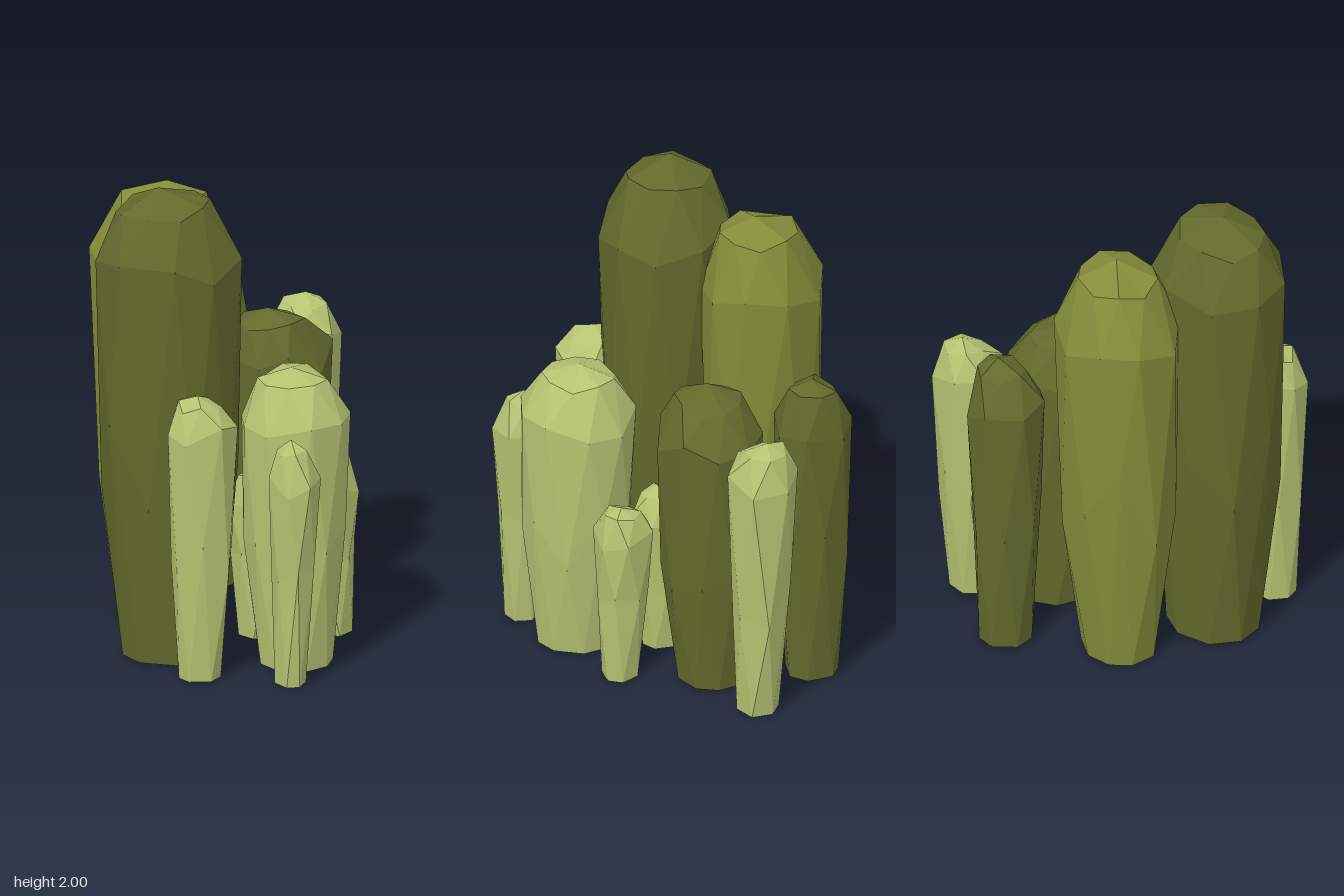
import * as THREE from 'three';

const material = (name, color) => {
  const m = new THREE.MeshStandardMaterial({ color, flatShading: true, side: THREE.DoubleSide });
  m.name = name;
  return m;
};

// Small seeded generator returning -1..1, for the uneven facets
function seeded(seed) {
  let s = seed * 7919 + 17;
  return () => {
    s = (s * 16807) % 2147483647;
    return (s / 2147483647) * 2 - 1;
  };
}

// Uneven polygon whose extents are exactly -1..1 on both axes
function unitOutline(sides, turn, rand) {
  const points = [];
  for (let i = 0; i < sides; i++) {
    const a = ((i + rand() * 0.12) / sides) * Math.PI * 2 + turn;
    points.push([Math.cos(a), Math.sin(a)]);
  }
  const range = [0, 1].map((k) => {
    const values = points.map((p) => p[k]);
    return [Math.min(...values), Math.max(...values)];
  });
  return points.map((p) => p.map((v, k) => THREE.MathUtils.mapLinear(v, ...range[k], -1, 1)));
}

// Faceted column, open underneath: staggered rings from a narrow foot to a dome.
// middle and half give the widest plan; foot and apex are [x, z].
function columnGeometry({ middle, half, foot, footScale, apex, height, dome, sides, turn }, seed) {
  const rand = seeded(seed);
  rand();
  const { lerp } = THREE.MathUtils;
  const outline = unitOutline(sides, turn, rand);
  // Half a step round the outline, pushed out to keep its width
  const staggered = outline.map((p, i) => {
    const q = outline[(i + 1) % sides];
    return [0, 1].map((k) => ((p[k] + q[k]) / 2) * 1.06);
  });
  const rings = [
    { plan: outline, y: 0, scale: footScale, centre: foot, wobble: 0 },
    { plan: staggered, y: 0.42, scale: lerp(footScale, 1, 0.78),
      centre: foot.map((v, k) => lerp(v, middle[k], 0.78)), wobble: 0.1 },
    { plan: outline, y: dome, scale: 1, centre: middle, wobble: 0.04 },
    { plan: staggered, y: lerp(dome, 1, 0.74), scale: 0.64,
      centre: apex.map((v, k) => lerp(middle[k], v, 0.6)), wobble: 0.015 },
  ];
  const pos = [];
  for (const { plan, y, scale, centre, wobble } of rings) {
    for (const p of plan) {
      pos.push(
        centre[0] + p[0] * half[0] * scale,
        height * (y + rand() * wobble),
        centre[1] + p[1] * half[1] * scale,
      );
    }
  }
  const tip = pos.length / 3;
  pos.push(apex[0], height, apex[1]);

  const index = [];
  for (let i = 0; i < sides; i++) {
    const n = (i + 1) % sides;
    for (let j = 0; j < rings.length - 1; j++) {
      const lo = j * sides, up = lo + sides;
      // Rings alternate between leading and trailing by half a step
      if (j % 2 === 0) index.push(lo + i, up + i, lo + n, lo + n, up + i, up + n);
      else index.push(lo + i, up + n, lo + n, lo + i, up + i, up + n);
    }
    const last = tip - sides;
    index.push(tip, last + n, last + i);
  }
  const indexed = new THREE.BufferGeometry();
  indexed.setAttribute('position', new THREE.Float32BufferAttribute(pos, 3));
  indexed.setIndex(index);
  const geometry = indexed.toNonIndexed();
  geometry.computeVertexNormals();
  return geometry;
}

export function createModel() {
  const dark = material('dark olive', 0x626a2c);
  const olive = material('olive green', 0x838d3a);
  const light = material('light sage green', 0xb6c372);

  const large = { sides: 9, dome: 0.84, footScale: 0.68 };
  const slender = { sides: 6, dome: 0.82, footScale: 0.6 };
  const columns = [
    // Large columns
    { ...large, name: 'tallColumn', mat: dark, height: 2, middle: [-0.32, 0.16], half: [0.3, 0.27],
      foot: [-0.3, 0.15], apex: [-0.36, 0.16], turn: -0.28 },
    { ...large, name: 'tallBackColumn', mat: olive, height: 1.87, middle: [-0.23, -0.28], half: [0.27, 0.25],
      foot: [-0.23, -0.27], apex: [-0.2, -0.26], turn: -0.1, footScale: 0.6 },
    { ...large, name: 'middleColumn', mat: dark, height: 1.3, middle: [0.26, -0.22], half: [0.22, 0.21],
      foot: [0.26, -0.24], apex: [0.21, -0.2], turn: 0.2 },
    { ...large, name: 'backColumn', mat: dark, height: 1.35, middle: [0.085, -0.6], half: [0.16, 0.16],
      foot: [0.09, -0.6], apex: [0.12, -0.62], turn: -0.3, sides: 7 },
    { ...large, name: 'frontColumn', mat: light, height: 1.25, middle: [0.15, 0.385], half: [0.22, 0.235],
      foot: [0.15, 0.39], apex: [0.14, 0.37], turn: 0.25 },
    // Slender columns
    { ...slender, name: 'backLeftColumn', mat: light, height: 1.22, middle: [0.465, -0.53], half: [0.155, 0.13],
      foot: [0.47, -0.51], apex: [0.47, -0.55], turn: 0, dome: 0.88 },
    { ...slender, name: 'frontRightColumn', mat: light, height: 1.2, middle: [-0.27, 0.465], half: [0.14, 0.14],
      foot: [-0.28, 0.47], apex: [-0.28, 0.46], turn: -0.45, dome: 0.88, sides: 7 },
    { ...slender, name: 'frontSmallColumn', mat: light, height: 1.04, middle: [0.075, 0.655], half: [0.105, 0.105],
      foot: [0.055, 0.655], apex: [0.06, 0.64], turn: 0.1 },
    { ...slender, name: 'leftSmallColumn', mat: light, height: 0.77, middle: [0.38, 0.105], half: [0.11, 0.125],
      foot: [0.4, 0.11], apex: [0.4, 0.1], turn: 0.47 },
    { ...slender, name: 'innerSmallColumn', mat: light, height: 0.72, middle: [0.085, 0.045], half: [0.115, 0.115],
      foot: [0.08, 0.05], apex: [0.08, 0.06], turn: -0.1 },
  ];

  const group = new THREE.Group();
  group.name = 'columnCluster';
  columns.forEach((spec, i) => {
    const mesh = new THREE.Mesh(columnGeometry(spec, i + 1), spec.mat);
    mesh.name = spec.name;
    group.add(mesh);
  });
  return group;
}
